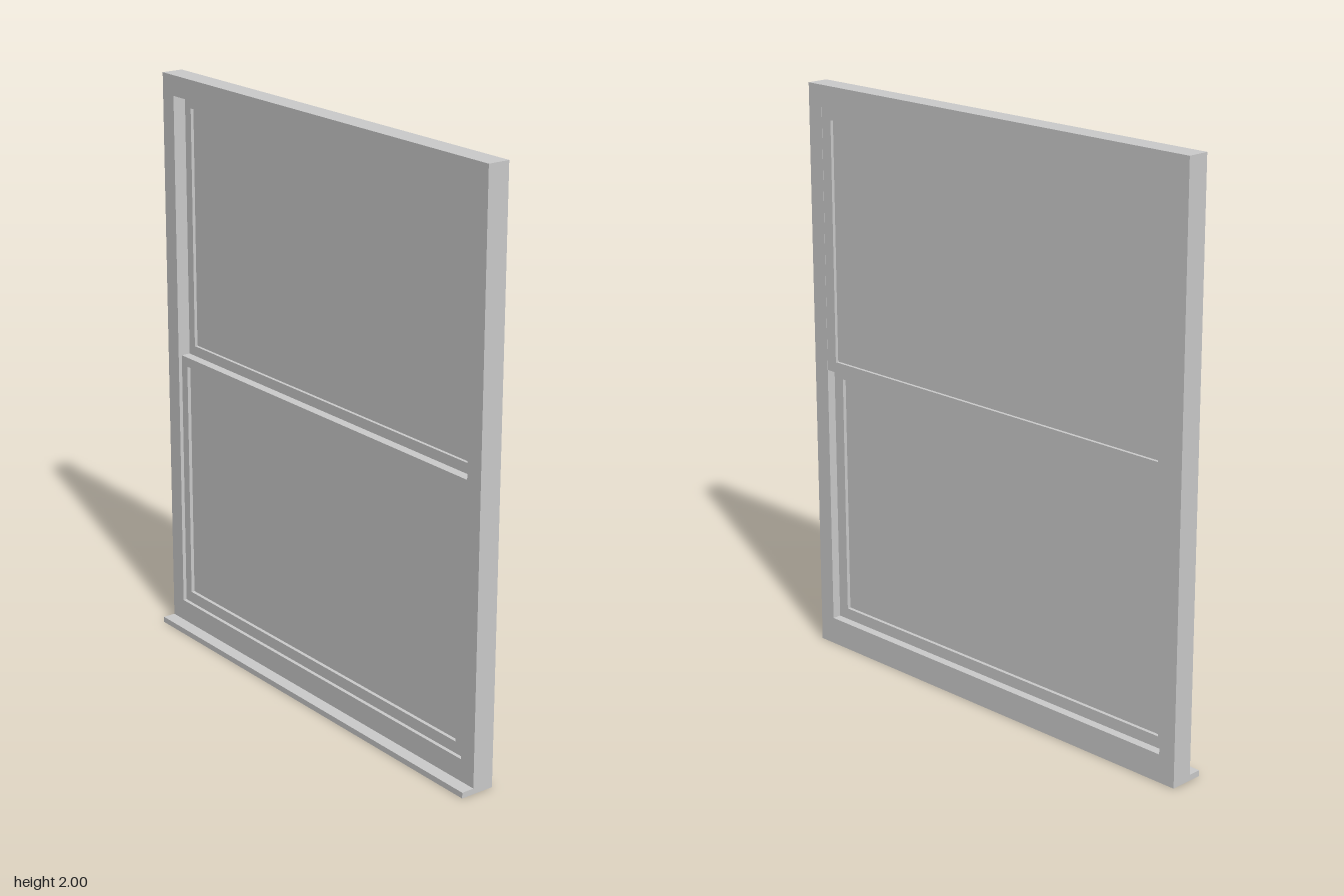
import * as THREE from 'three';

const HALF_W = 0.828, OPEN_W = 0.766;
const BACK = -0.061, MID = -0.03, FRONT = 0.016;
const PANE_L = -0.733, PANE_R = 0.724;

// Rectangular ring with a rectangular hole, extruded from z0 to z1
function ring(name, outer, inner, z0, z1, material) {
  const trace = (path, [x0, x1, y0, y1]) => {
    path.moveTo(x0, y0);
    path.lineTo(x1, y0);
    path.lineTo(x1, y1);
    path.lineTo(x0, y1);
    path.closePath();
    return path;
  };
  const shape = trace(new THREE.Shape(), outer);
  shape.holes.push(trace(new THREE.Path(), inner));
  const geometry = new THREE.ExtrudeGeometry(shape, { depth: z1 - z0, bevelEnabled: false });
  geometry.translate(0, 0, z0);
  const mesh = new THREE.Mesh(geometry, material);
  mesh.name = name;
  return mesh;
}

// Box given by its x, y and z ranges
function slab(name, [x0, x1, y0, y1], z0, z1, material) {
  const mesh = new THREE.Mesh(new THREE.BoxGeometry(x1 - x0, y1 - y0, z1 - z0), material);
  mesh.position.set((x0 + x1) / 2, (y0 + y1) / 2, (z0 + z1) / 2);
  mesh.name = name;
  return mesh;
}

// Sash: a rail-and-stile ring holding a recessed pane
function sash(name, [y0, y1], [p0, p1], z0, z1, material) {
  const group = new THREE.Group();
  group.name = name;
  const mid = (z0 + z1) / 2;
  const pane = [PANE_L, PANE_R, p0, p1];
  group.add(
    ring(name + 'Rails', [-OPEN_W, OPEN_W, y0, y1], pane, z0, z1, material),
    slab(name + 'Pane', pane, mid - 0.004, mid + 0.004, material)
  );
  return group;
}

export function createModel() {
  const grey = new THREE.MeshStandardMaterial({ color: 0xcccccc });
  grey.name = 'light grey';

  const model = new THREE.Group();
  model.name = 'sashWindow';
  model.add(
    // Outer frame and projecting sill
    ring('outerFrame', [-HALF_W, HALF_W, 0, 2], [-OPEN_W, OPEN_W, 0.096, 1.93], BACK, FRONT, grey),
    slab('sill', [-HALF_W, HALF_W, 0, 0.02], FRONT, 0.061, grey),
    // Upper sash sits almost flush with the back, lower sash in front of it
    sash('upperSash', [1.016, 1.93], [1.053, 1.887], BACK + 0.001, MID, grey),
    sash('lowerSash', [0.096, 1.018], [0.136, 0.985], MID, 0.003, grey)
  );
  return model;
}
